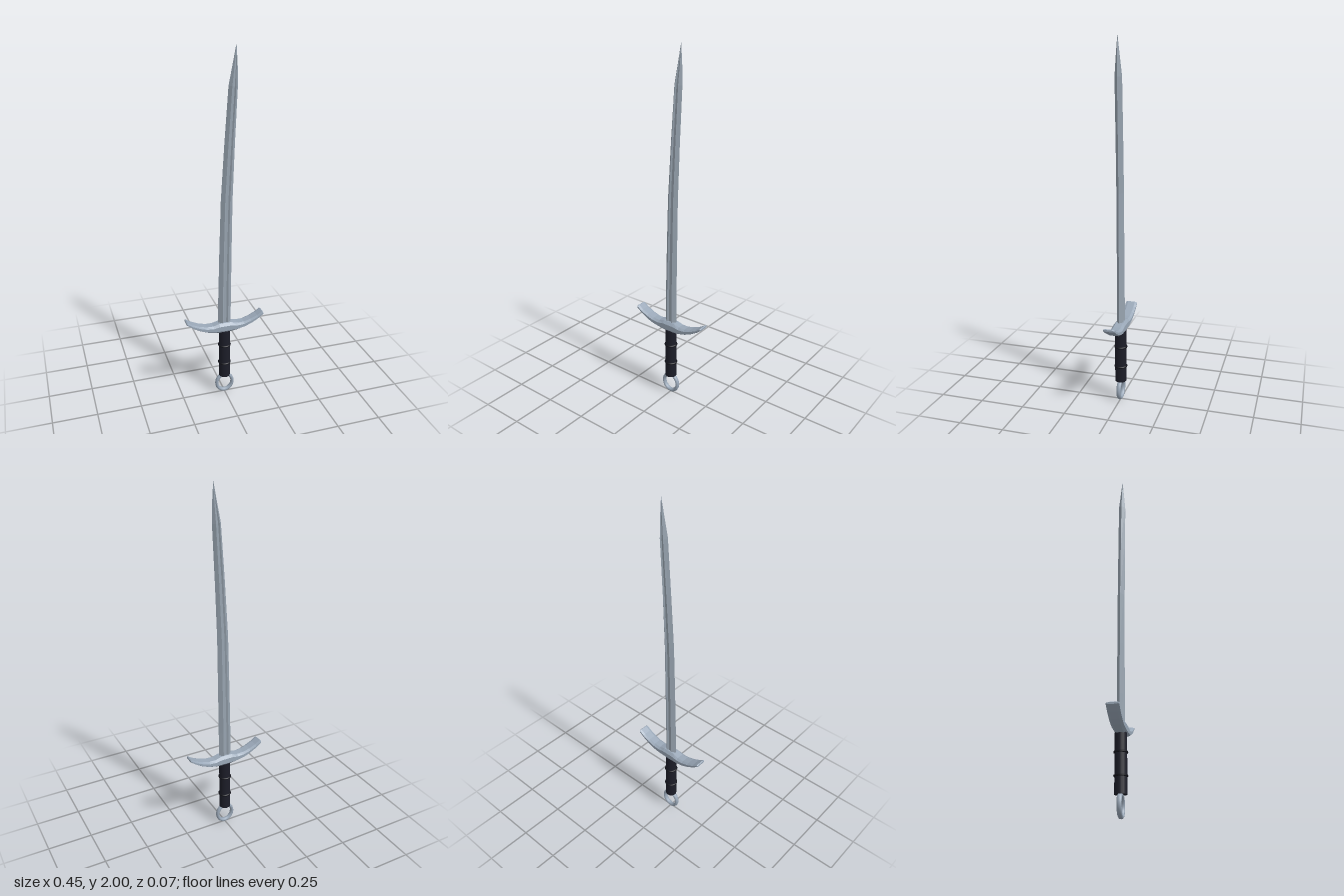
import * as THREE from 'three';

const steel = new THREE.MeshStandardMaterial({ color: 0x98a4b0, flatShading: true });
const guardSteel = new THREE.MeshStandardMaterial({ color: 0x9aa8b8, flatShading: true });
const leather = new THREE.MeshStandardMaterial({ color: 0x1c1d28 });
const cord = new THREE.MeshStandardMaterial({ color: 0x12131a });

// Skin a row of equal-length cross-sections and close both ends
function loft(sections) {
  const pos = [];
  const n = sections[0].length;
  const tri = (...pts) => pts.forEach((p) => pos.push(...p));
  for (let i = 0; i < sections.length - 1; i++) {
    for (let j = 0; j < n; j++) {
      const k = (j + 1) % n;
      const [a, b, c, d] = [sections[i][j], sections[i][k], sections[i + 1][k], sections[i + 1][j]];
      tri(a, b, c);
      tri(a, c, d);
    }
  }
  const cap = (ring, flip) => {
    const mid = [0, 1, 2].map((c) => ring.reduce((s, p) => s + p[c], 0) / n);
    ring.forEach((p, j) => {
      const q = ring[(j + 1) % n];
      if (flip) tri(mid, q, p);
      else tri(mid, p, q);
    });
  };
  cap(sections[0], true);
  cap(sections[sections.length - 1], false);
  const geo = new THREE.BufferGeometry();
  geo.setAttribute('position', new THREE.Float32BufferAttribute(pos, 3));
  geo.computeVertexNormals();
  return geo;
}

// Double-edged section with a shallow fuller on each face
function bladeSection([y, left, right, thick]) {
  const half = [[0, 0], [0.3, 1], [0.42, 0.62], [0.6, 0.62], [0.72, 1], [1, 0]];
  const at = ([t, z], side) => [left + (right - left) * t, y, side * z * thick];
  return [...half.map((p) => at(p, 1)), ...half.slice(1, -1).reverse().map((p) => at(p, -1))];
}

// Chamfered guard section: front runs downward, back runs upward
function guardSection([x, bottom, top, depth]) {
  const inner = depth * 0.6;
  const c = (top - bottom) * 0.25;
  return [
    [x, top, inner], [x, top - c, depth], [x, bottom + c, depth], [x, bottom, inner],
    [x, bottom, -inner], [x, bottom + c, -depth], [x, top - c, -depth], [x, top, -inner],
  ];
}

export function createModel() {
  const group = new THREE.Group();
  const add = (name, geo, mat, y = 0) => {
    const mesh = new THREE.Mesh(geo, mat);
    mesh.name = name;
    mesh.position.y = y;
    group.add(mesh);
    return mesh;
  };

  // Gently curved blade: height, left edge, right edge, half thickness
  const stations = [
    [0.45, -0.038, 0.037, 0.019],
    [0.62, -0.036, 0.038, 0.018],
    [0.9, -0.029, 0.041, 0.017],
    [1.2, -0.02, 0.045, 0.017],
    [1.5, -0.001, 0.056, 0.017],
    [1.8, 0.021, 0.07, 0.017],
    [1.9, 0.041, 0.068, 0.009],
    [2.0, 0.0605, 0.0615, 0.0005],
  ];
  add('blade', loft(stations.map(bladeSection)), steel);

  // Upswept crossguard, mirrored about the centre: x, bottom, top, half depth
  const halfGuard = [
    [0, 0.413, 0.474, 0.033],
    [0.035, 0.415, 0.473, 0.033],
    [0.07, 0.42, 0.463, 0.033],
    [0.11, 0.43, 0.464, 0.033],
    [0.15, 0.447, 0.475, 0.033],
    [0.19, 0.471, 0.492, 0.033],
    [0.22, 0.494, 0.511, 0.033],
    [0.225, 0.498, 0.508, 0.029],
  ];
  const mirrored = halfGuard.slice(1).reverse().map(([x, ...rest]) => [-x, ...rest]);
  add('crossguard', loft([...mirrored, ...halfGuard].map(guardSection)), guardSteel);

  // Wrapped grip with two binding rings
  add('grip', new THREE.CylinderGeometry(0.032, 0.032, 0.305, 20), leather, 0.2675);
  for (const y of [0.205, 0.322]) {
    const ring = add('gripRing', new THREE.TorusGeometry(0.031, 0.006, 8, 24), cord, y);
    ring.rotation.x = Math.PI / 2;
  }

  // Ring pommel, slightly wider than its rim is thick
  const pommel = add('pommelRing', new THREE.TorusGeometry(0.047, 0.0095, 10, 28),
    new THREE.MeshStandardMaterial({ color: 0x9aa8b8 }), 0.0645);
  pommel.scale.set(1, 1.12, 1.35);
  pommel.position.y = 0.0633;

  return group;
}
